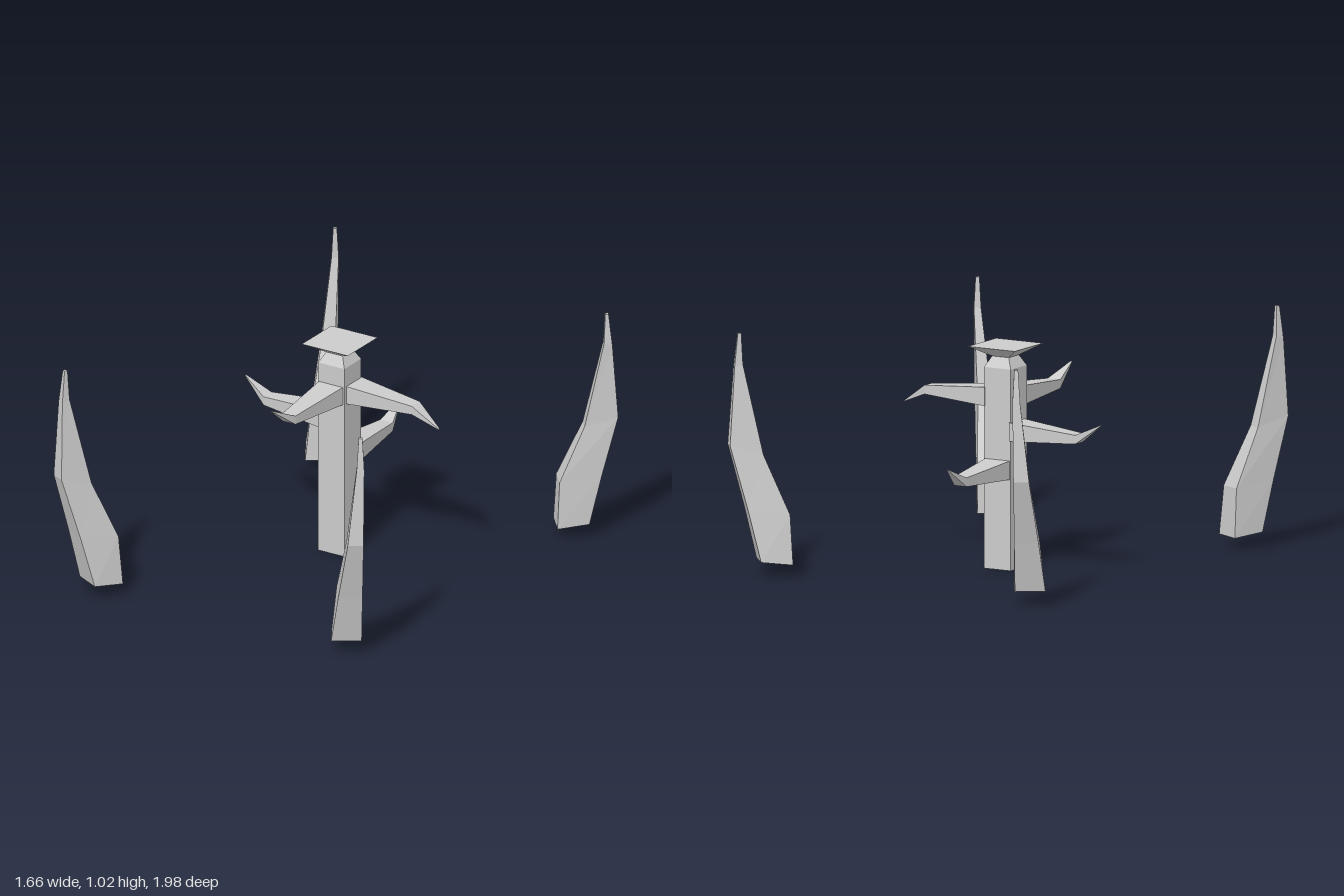
import * as THREE from 'three';

// Closed skin over a list of four-cornered rings
function loft(rings) {
  const pos = [];
  const tri = (...pts) => pts.forEach((p) => pos.push(...p));
  for (let r = 0; r < rings.length - 1; r++) {
    for (let i = 0; i < 4; i++) {
      const j = (i + 1) % 4;
      const a = rings[r][i], b = rings[r][j], c = rings[r + 1][j], d = rings[r + 1][i];
      tri(a, d, b);
      tri(b, d, c);
    }
  }
  const [p, q, s, t] = rings[0];
  tri(p, q, s);
  tri(p, s, t);
  const [e, f, g, h] = rings[rings.length - 1];
  tri(e, g, f);
  tri(e, h, g);
  const geo = new THREE.BufferGeometry();
  geo.setAttribute('position', new THREE.Float32BufferAttribute(pos, 3));
  geo.computeVertexNormals();
  return geo;
}

// Square post that narrows to a neck and flares into a flat cap
function postGeometry() {
  const profile = [[0, 0.065], [0.855, 0.065], [0.9, 0.041], [0.945, 0.115]];
  return loft(profile.map(([y, h]) => [[-h, y, -h], [h, y, -h], [h, y, h], [-h, y, h]]));
}

// Tapered branch along +x with a bent, pointed end
function branchGeometry(tipRise, baseSide, tipSide) {
  const midSide = baseSide + (tipSide - baseSide) * 0.4;
  const stations = [ // distance, height, side, half height, half width
    [0.06, 0, baseSide, 0.04, 0.06],
    [0.375, -0.005, midSide, 0.019, 0.031],
    [0.497, tipRise, tipSide, 0.002, 0.004],
  ];
  return loft(stations.map(([d, y, z, hy, hz]) => [
    [d, y - hy, z - hz], [d, y - hy, z + hz], [d, y + hy, z + hz], [d, y + hy, z - hz],
  ]));
}

// Upright curved claw leaning outward along +x; lean is the sideways direction
function clawGeometry(lean) {
  // inner and outer edges: [distance, height, sideways shift, half width]
  const inner = [[-0.065, 0.05, 0, 0.064], [-0.056, 0.26, 0.01, 0.052], [0.05, 0.51, 0.03, 0.03],
    [0.13, 0.89, 0.06, 0.015], [0.136, 1.02, 0.06, 0.008]];
  const outer = [[0.07, 0.065, 0, 0.064], [0.12, 0.28, 0.017, 0.051], [0.19, 0.55, 0.04, 0.033],
    [0.165, 0.88, 0.06, 0.016], [0.15, 1.02, 0.06, 0.008]];
  return loft(inner.map(([si, yi, ti, hi], k) => {
    const [so, yo, to, ho] = outer[k];
    return [
      [si, yi, lean * ti - hi], [so, yo, lean * to - ho],
      [so, yo, lean * to + ho], [si, yi, lean * ti + hi],
    ];
  }));
}

export function createModel() {
  const group = new THREE.Group();
  const material = new THREE.MeshStandardMaterial({ color: 0xcccccc, flatShading: true });
  const add = (name, geo, x, y, z, turn = 0) => {
    const mesh = new THREE.Mesh(geo, material);
    mesh.name = name;
    mesh.position.set(x, y, z);
    mesh.rotation.y = turn;
    group.add(mesh);
  };

  // Central post
  const px = -0.095, pz = -0.11;
  add('post', postGeometry(), px, 0, pz);

  // Four branches at different heights
  [
    ['leftBranch', 0.73, 0, -0.07, -0.011, 0.004],
    ['rightBranch', 0.59, Math.PI, 0.065, 0.011, 0.046],
    ['frontBranch', 0.73, -Math.PI / 2, 0.07, 0.002, 0.02],
    ['backBranch', 0.427, Math.PI / 2, 0.063, 0, -0.02],
  ].forEach(([name, y, turn, rise, base, tip]) => {
    add(name, branchGeometry(rise, base, tip), px, y, pz, turn);
  });

  // Four claws standing around the post
  [
    ['frontLeftClaw', 0.5, 0.76, 57.8, -1],
    ['frontRightClaw', -0.678, 0.82, 117.8, 1],
    ['backLeftClaw', 0.634, -0.763, -40.5, 1],
    ['backRightClaw', -0.635, -0.8, -122.5, 1],
  ].forEach(([name, x, z, angle, lean]) => {
    add(name, clawGeometry(lean), x, 0, z, -THREE.MathUtils.degToRad(angle));
  });

  return group;
}
